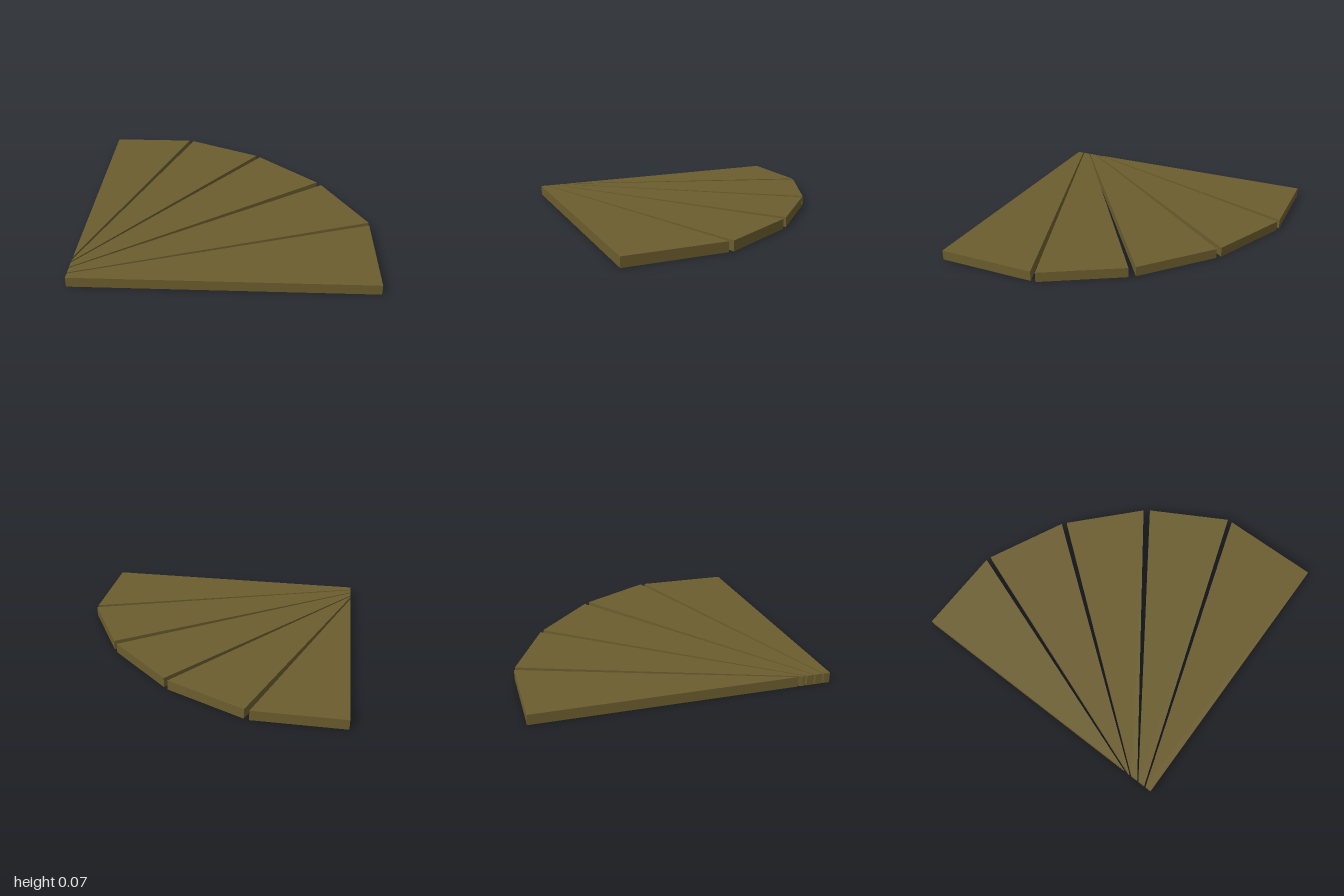
import * as THREE from 'three';

const HEIGHT = 0.07;

// Outline of each winder tread seen from above, as [x, z]
const TREADS = [
  [[-1, 0.77], [-1, -1], [-0.385, -1]],
  [[-1, 0.82], [-1, 0.805], [-0.35, -0.99], [0.195, -0.735]],
  [[-1, 0.885], [-1, 0.835], [0.225, -0.71], [0.67, -0.3]],
  [[-1, 0.945], [-1, 0.895], [0.7, -0.26], [1, 0.27]],
  [[-1, 1], [-1, 0.955], [1, 0.305], [1, 1]],
];

// Flat slab standing on y = 0
function slab(outline) {
  const shape = new THREE.Shape(outline.map(([x, z]) => new THREE.Vector2(x, -z)));
  const geometry = new THREE.ExtrudeGeometry(shape, { depth: HEIGHT, bevelEnabled: false });
  return geometry.rotateX(-Math.PI / 2);
}

export function createModel() {
  const model = new THREE.Group();
  model.name = 'winderTreads';
  const wood = new THREE.MeshStandardMaterial({ color: 0x6b5d2e });
  wood.name = 'olive wood';

  // Five wedges fanning out from the inner corner
  TREADS.forEach((outline, i) => {
    const tread = new THREE.Mesh(slab(outline), wood);
    tread.name = `tread${i + 1}`;
    model.add(tread);
  });
  return model;
}
